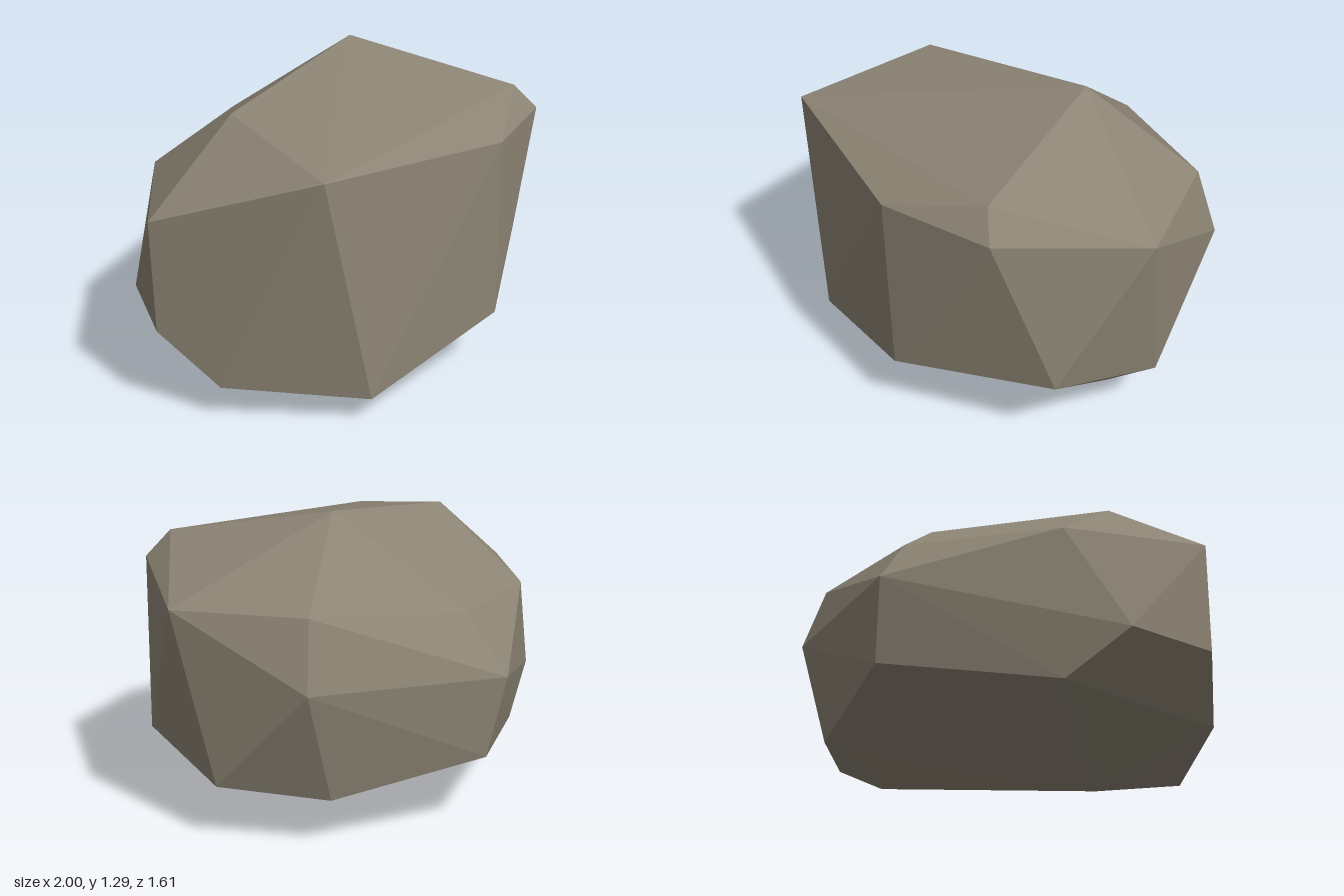
import * as THREE from 'three';
import { ConvexGeometry } from 'three/addons/geometries/ConvexGeometry.js';

// Corners of the boulder, in rings from the crown to the underside
const corners = {
  crown: [
    [0.32, 1.295, -0.13], [-0.55, 1.18, 0.04], [0.6, 1.155, 0.575],
  ],
  shoulder: [
    [-0.65, 1.08, 0.65], [0.22, 1.05, 0.8], [0.69, 1.045, 0.635], [1, 0.98, 0.09],
    [0.72, 0.985, -0.4], [0.05, 0.91, -0.62], [-0.6, 0.87, -0.4], [-1, 0.855, 0.05],
  ],
  waist: [
    [0.79, 0.705, -0.46], [0.01, 0.67, -0.805], [-0.83, 0.41, -0.28], [-0.99, 0.38, 0.055],
  ],
  foot: [
    [0.24, 0.275, 0.8], [0.85, 0.36, 0.44], [0.91, 0.25, -0.05], [0.64, 0.22, -0.43],
    [0.065, 0.325, -0.75], [-0.58, 0.22, -0.38], [-0.86, 0.16, 0.28], [-0.45, 0.115, 0.72],
  ],
  underside: [
    [0.79, 0.185, 0.11], [-0.29, 0, 0.27],
  ],
};

export function createModel() {
  const group = new THREE.Group();
  group.name = 'rock';

  const stone = new THREE.MeshStandardMaterial({ color: 0x8c8474 });
  stone.name = 'stone';
  stone.flatShading = true;

  // Faceted boulder: hull stretched over the corner rings
  const points = Object.values(corners).flat().map((p) => new THREE.Vector3(...p));
  const boulder = new THREE.Mesh(new ConvexGeometry(points), stone);
  boulder.name = 'boulder';
  group.add(boulder);

  return group;
}
